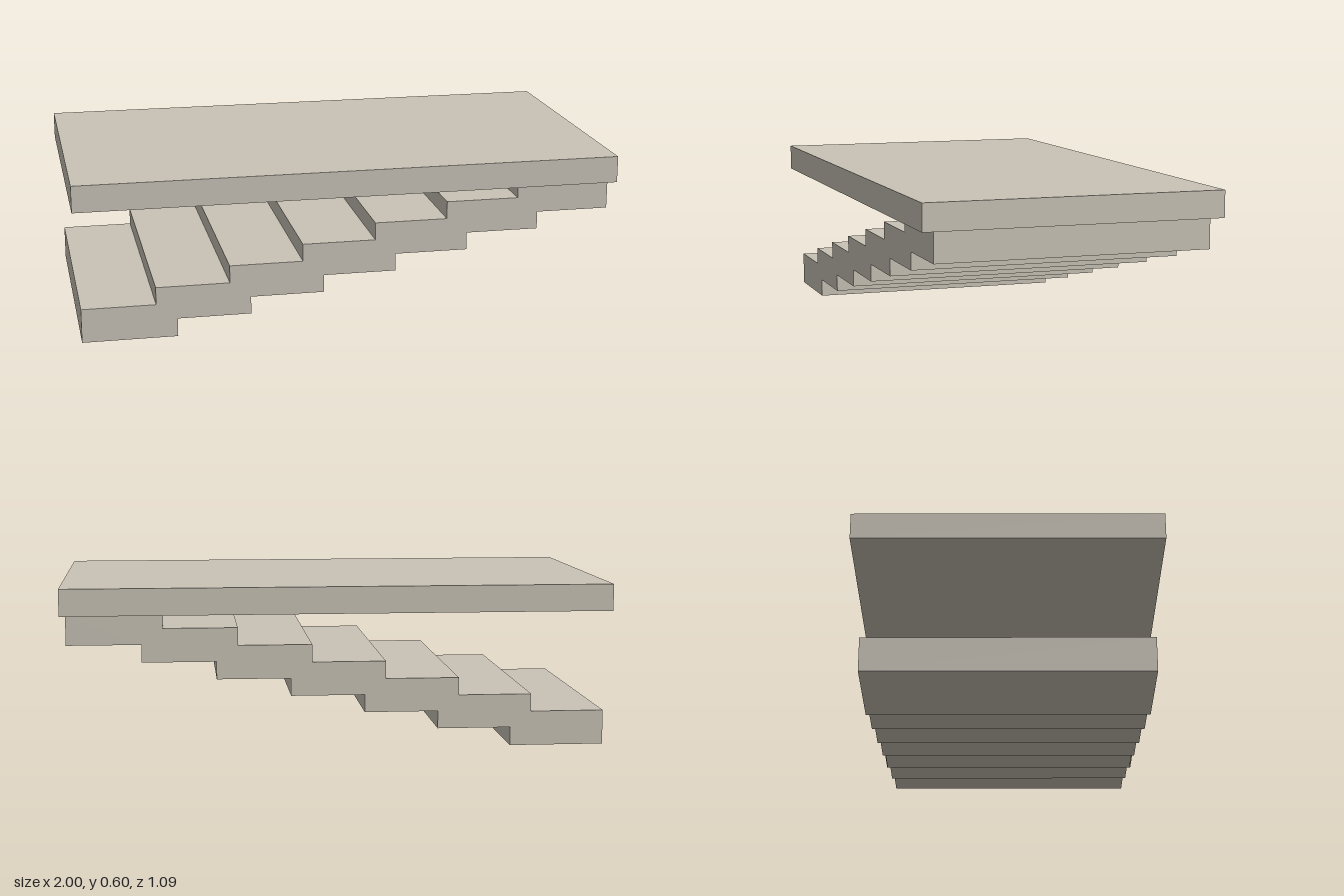
import * as THREE from 'three';

export function createModel() {
  const model = new THREE.Group();
  model.name = 'slabOnStairs';
  const stone = new THREE.MeshStandardMaterial({ color: 0xc8c2b6 });
  stone.name = 'stone';

  // Flat landing slab
  const slab = new THREE.Mesh(new THREE.BoxGeometry(2, 0.098, 1.09), stone);
  slab.name = 'landingSlab';
  slab.position.y = 0.549;
  model.add(slab);

  // Stepped flight: overlapping treads joined into one side profile
  const count = 7, run = 0.269, rise = 0.0645, length = 0.346, thick = 0.126;
  const slabBottom = 0.5, depth = 1;
  const start = -0.98;
  const upper = [], lower = [];
  for (let i = 0; i < count; i++) {
    const x = start + i * run;
    const y = i * rise + 0.003 * Math.min(i, 1);
    const top = i === count - 1 ? slabBottom : i * rise + thick;
    const nextX = i === count - 1 ? x + length : x + run;
    const prevX = i === 0 ? x : x + length - run;
    upper.push(new THREE.Vector2(x, top), new THREE.Vector2(nextX, top));
    lower.push(new THREE.Vector2(prevX, y), new THREE.Vector2(x + length, y));
  }
  const profile = new THREE.Shape([...lower, ...upper.reverse()]);
  const geometry = new THREE.ExtrudeGeometry(profile, { depth, bevelEnabled: false });
  geometry.translate(0, 0, -depth / 2);
  const stairs = new THREE.Mesh(geometry, stone);
  stairs.name = 'stairFlight';
  model.add(stairs);

  return model;
}
